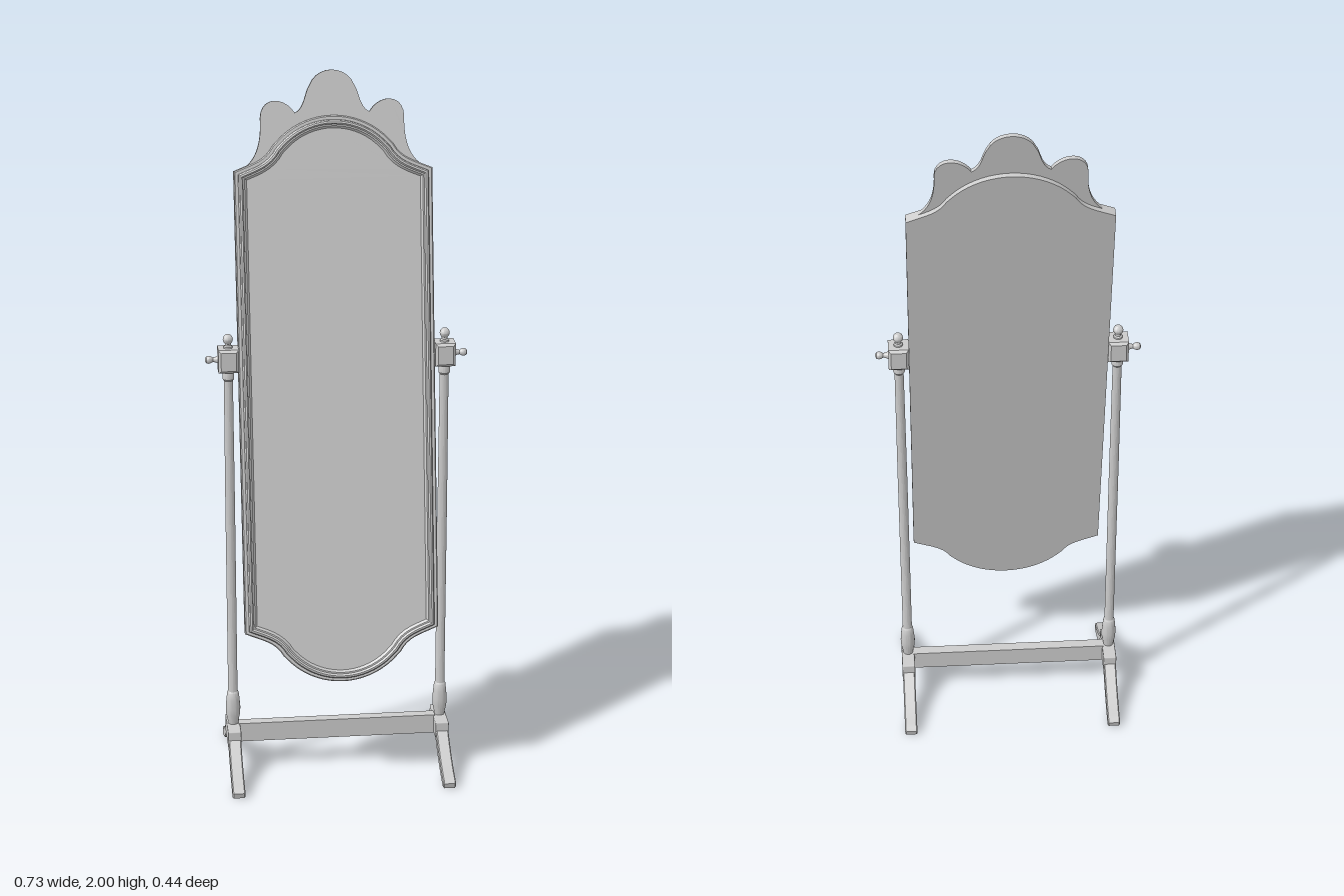
import * as THREE from 'three';
import { toCreasedNormals } from 'three/addons/utils/BufferGeometryUtils.js';
import { RoundedBoxGeometry } from 'three/addons/geometries/RoundedBoxGeometry.js';

const V = (x, y) => new THREE.Vector2(x, y);
const material = new THREE.MeshStandardMaterial({ color: 0xcccccc });

function add(parent, name, geometry, x = 0, y = 0, z = 0) {
  const mesh = new THREE.Mesh(geometry, material);
  mesh.name = name;
  mesh.position.set(x, y, z);
  parent.add(mesh);
  return mesh;
}

const lathe = (pts, sides = 20) =>
  toCreasedNormals(new THREE.LatheGeometry(pts.map(p => V(p[0], p[1])), sides), 0.6);

// Closed frame outline, counter-clockwise: ogee shoulder and arched end, mirrored to four corners
function frameOutline() {
  const quarter = new THREE.CubicBezierCurve(V(0.272, 0.643), V(0.22, 0.665), V(0.188, 0.67), V(0.166, 0.71)).getPoints(8);
  const r = 0.21, a0 = Math.asin(0.166 / r), top = 0.79;
  for (let i = 1; i <= 10; i++) {
    const a = a0 * (1 - i / 10);
    quarter.push(V(r * Math.sin(a), top - r + r * Math.cos(a)));
  }
  const half = [...quarter, ...quarter.slice(0, -1).reverse().map(p => V(-p.x, p.y))];
  return [...half, ...half.map(p => V(-p.x, -p.y))];
}

// Moves a closed outline inward by d, with mitred corners
function inset(pts, d) {
  const n = pts.length;
  const normal = (a, b) => V(a.y - b.y, b.x - a.x).normalize();
  return pts.map((p, i) => {
    const n1 = normal(pts[(i + n - 1) % n], p), n2 = normal(p, pts[(i + 1) % n]);
    return n1.clone().add(n2).multiplyScalar(d / (1 + n1.dot(n2))).add(p);
  });
}

// Sweeps a moulding profile of [inset, z] around the outline
function sweepFrame(outline, profile) {
  const n = outline.length, pos = [], idx = [];
  for (const [d, z] of profile) for (const p of inset(outline, d)) pos.push(p.x, p.y, z);
  for (let j = 0; j < profile.length - 1; j++) {
    for (let i = 0; i < n; i++) {
      const a = j * n + i, b = j * n + (i + 1) % n;
      idx.push(a, b, b + n, a, b + n, a + n);
    }
  }
  const g = new THREE.BufferGeometry();
  g.setAttribute('position', new THREE.Float32BufferAttribute(pos, 3));
  g.setIndex(idx);
  return toCreasedNormals(g, 0.5);
}

function createMirror() {
  const mirror = new THREE.Group();
  mirror.name = 'tiltingMirror';
  const body = new THREE.Group();
  body.name = 'mirrorBody';
  body.position.y = -0.13;
  mirror.add(body);

  const outline = frameOutline();
  add(body, 'frameMoulding', sweepFrame(outline, [
    [0, -0.024], [0, 0.006], [0.003, 0.009], [0.011, 0.009], [0.012, 0.019], [0.015, 0.023],
    [0.020, 0.024], [0.023, 0.021], [0.024, 0.016], [0.028, 0.016], [0.034, 0.010],
  ]));
  add(body, 'glass', new THREE.ShapeGeometry(new THREE.Shape(inset(outline, 0.034))), 0, 0, 0.010);
  add(body, 'backPanel', new THREE.ShapeGeometry(new THREE.Shape(outline)), 0, 0, -0.024).rotation.y = Math.PI;

  // Crest board with a tall centre lobe and two side lobes
  const s = new THREE.Shape();
  s.moveTo(-0.24, 0.5);
  s.lineTo(-0.24, 0.525);
  s.bezierCurveTo(-0.205, 0.55, -0.195, 0.6, -0.197, 0.655);
  s.bezierCurveTo(-0.195, 0.715, -0.13, 0.715, -0.102, 0.668);
  s.bezierCurveTo(-0.075, 0.68, -0.075, 0.72, -0.062, 0.74);
  s.bezierCurveTo(-0.04, 0.797, 0.04, 0.797, 0.062, 0.74);
  s.bezierCurveTo(0.075, 0.72, 0.075, 0.68, 0.102, 0.668);
  s.bezierCurveTo(0.13, 0.715, 0.195, 0.715, 0.197, 0.655);
  s.bezierCurveTo(0.195, 0.6, 0.205, 0.55, 0.24, 0.525);
  s.lineTo(0.24, 0.5);
  const crest = new THREE.ExtrudeGeometry(s, { depth: 0.012, bevelEnabled: false, curveSegments: 10 });
  add(mirror, 'crest', toCreasedNormals(crest, 0.6), 0, 0, -0.010);

  mirror.position.y = 1.23;
  mirror.rotation.x = -0.175;
  return mirror;
}

// Curved foot reaching forward from the hub
function legGeometry() {
  const s = new THREE.Shape();
  s.moveTo(0.05, 0.085);
  s.quadraticCurveTo(0.125, 0.022, 0.206, 0.003);
  s.lineTo(0.214, 0.004);
  s.lineTo(0.217, 0.016);
  s.lineTo(0.211, 0.022);
  s.quadraticCurveTo(0.135, 0.045, 0.05, 0.117);
  const g = new THREE.ExtrudeGeometry(s, {
    depth: 0.03, bevelThickness: 0.003, bevelSize: 0.003, bevelSegments: 1, curveSegments: 10,
  });
  g.translate(0, 0, -0.015);
  g.rotateY(-Math.PI / 2);
  return toCreasedNormals(g, 0.5);
}

function createStand(side) {
  const stand = new THREE.Group();
  stand.name = side > 0 ? 'leftStand' : 'rightStand';
  stand.position.x = side * 0.3;

  add(stand, 'frontLeg', legGeometry());
  add(stand, 'backLeg', legGeometry()).rotation.y = Math.PI;
  add(stand, 'hub', new RoundedBoxGeometry(0.038, 0.054, 0.13, 1, 0.004), 0, 0.108, 0);

  // Turned post with a vase at the foot
  add(stand, 'post', lathe([
    [0, 0.13], [0.014, 0.13], [0.015, 0.14], [0.020, 0.165], [0.021, 0.185], [0.019, 0.21], [0.0165, 0.232],
    [0.0135, 0.236], [0.0135, 0.8], [0.0125, 1.17], [0.016, 1.175], [0.016, 1.19], [0.012, 1.205], [0, 1.205],
  ]));

  // Chamfered pivot block
  const b = new THREE.Shape([V(-0.021, -0.026), V(0.021, -0.026), V(0.021, 0.026), V(-0.021, 0.026)]);
  const block = new THREE.ExtrudeGeometry(b, { depth: 0.05, bevelThickness: 0.007, bevelSize: 0.007, bevelSegments: 1 });
  block.translate(0, 0, -0.025);
  add(stand, 'pivotBlock', toCreasedNormals(block, 0.3), 0, 1.231, 0);

  add(stand, 'finial', lathe([
    [0.013, 0], [0.012, 0.006], [0.008, 0.009], [0.008, 0.014], [0.012, 0.019],
    [0.014, 0.026], [0.012, 0.034], [0.007, 0.039], [0, 0.041],
  ]), 0, 1.262, 0);

  // Tightening knob on the outer face, with its pin running into the frame
  const knob = lathe([
    [0.008, -0.04], [0.008, 0.026], [0.011, 0.028], [0.008, 0.034], [0.006, 0.042],
    [0.009, 0.046], [0.011, 0.053], [0.009, 0.060], [0.005, 0.063], [0, 0.064],
  ]);
  add(stand, 'knob', knob, 0, 1.231, 0).rotation.z = -side * Math.PI / 2;
  return stand;
}

export function createModel() {
  const model = new THREE.Group();
  model.name = 'standingMirror';
  model.add(createMirror(), createStand(1), createStand(-1));
  add(model, 'crossbar', new THREE.BoxGeometry(0.57, 0.056, 0.03), 0, 0.109, 0);
  return model;
}
